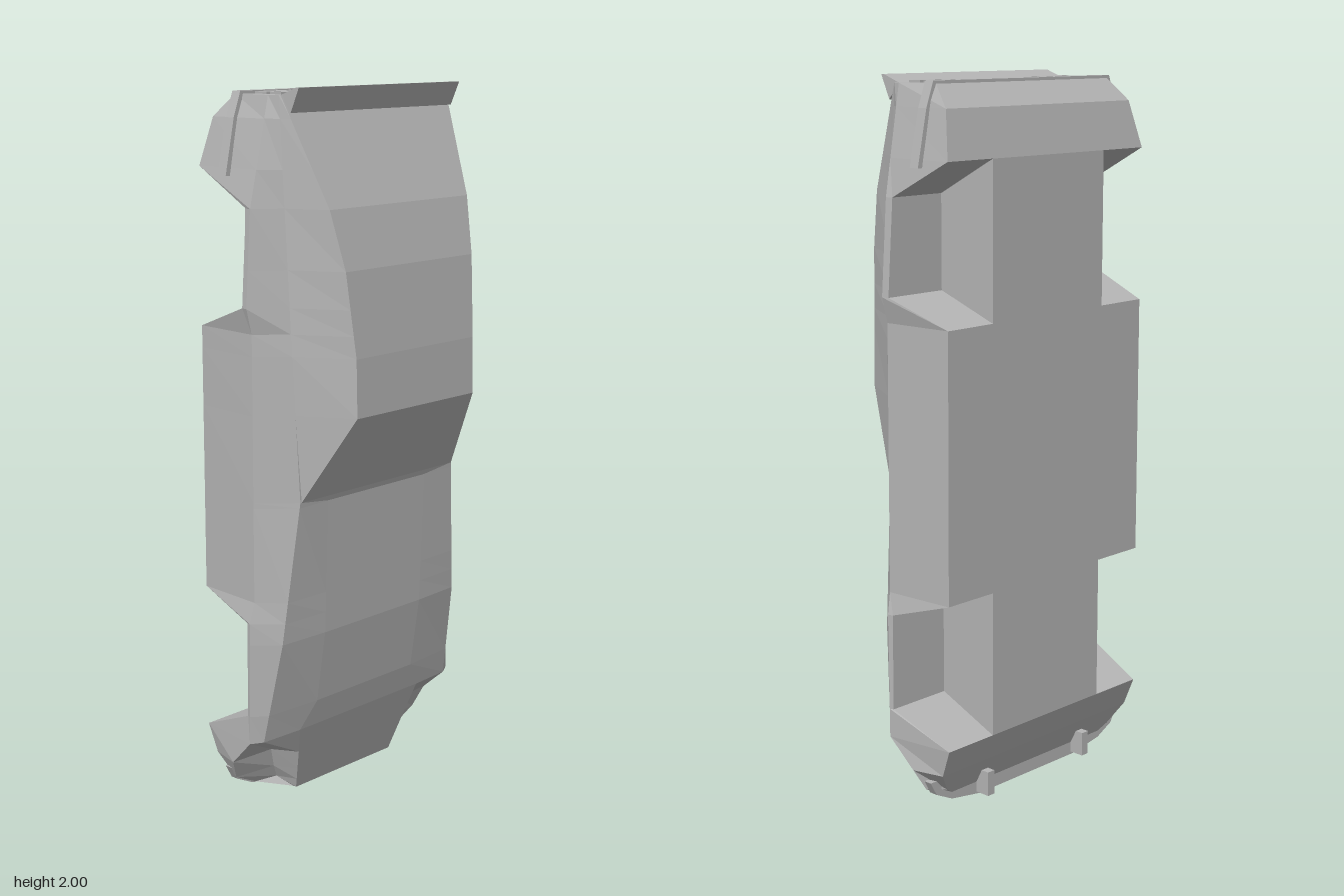
import * as THREE from 'three';

// Lengthwise edge lines of the +x half, nose (y = 0) to tail; points are [y, x, z]
const FLOOR = [[0, 0.2, -0.09], [0.03, 0.28, -0.14], [0.07, 0.34, -0.16], [0.13, 0.385, -0.19],
  [0.21, 0.39, -0.22], [1.79, 0.385, -0.22], [1.92, 0.36, -0.19], [1.98, 0.335, -0.13]];
const CREASE = [[0, 0.205, -0.08], [0.03, 0.3, -0.125], [0.07, 0.38, -0.12], [0.13, 0.41, -0.1],
  [0.21, 0.42, -0.02], [0.56, 0.418, -0.015], [0.62, 0.405, -0.01], [1.36, 0.402, -0.01],
  [1.43, 0.42, -0.01], [1.69, 0.402, -0.01], [1.98, 0.342, 0]];
const SHOULDER = [[0, 0.2, -0.07], [0.03, 0.23, -0.11], [0.07, 0.25, -0.1], [0.13, 0.27, -0.09],
  [0.21, 0.385, 0], [0.5, 0.36, 0.052], [0.9, 0.315, 0.08], [1.3, 0.33, 0.068], [1.98, 0.331, 0.028]];
const UPPER = [[0, 0.2, -0.06], [0.13, 0.23, -0.018], [0.21, 0.25, 0.008], [0.29, 0.2, 0.028],
  [0.5, 0.2, 0.06], [0.885, 0.2, 0.075], [0.9, 0.31, 0.08], [1.14, 0.24, 0.22],
  [1.3, 0.24, 0.217], [1.53, 0.257, 0.195], [1.69, 0.278, 0.158], [1.98, 0.328, 0.032]];

// Wheel wells: flat top from..to, inner wall and top height
const WELLS = [[0.29, 0.56], [1.43, 1.69]];
const WELL_X = 0.22, WELL_Z = -0.03;

// Point on an edge line at height y
function at(line, y) {
  const i = Math.max(1, line.findIndex((p) => p[0] >= y));
  const [y0, x0, z0] = line[i - 1], [y1, x1, z1] = line[i];
  const t = (y - y0) / (y1 - y0);
  return [x0 + (x1 - x0) * t, y, z0 + (z1 - z0) * t];
}

// Closed cross-section; inside a well the floor corner steps up to the well top
function sectionRing(y) {
  const [floor, crease, shoulder, upper] = [FLOOR, CREASE, SHOULDER, UPPER].map((l) => at(l, y));
  const inner = [Math.min(WELL_X, floor[0]), y, floor[2]];
  const inWell = WELLS.some(([from, to]) => y >= from && y <= to);
  const sill = inWell
    ? [[WELL_X, y, WELL_Z], [crease[0] - 0.004, y, WELL_Z]]
    : [inner, floor];
  const half = [inner, ...sill, crease, shoulder, upper];
  const mirrored = half.map(([x, , z]) => [-x, y, z]).reverse();
  return [[0, y, floor[2]], ...half, [0, y, upper[2]], ...mirrored];
}

function buildBody() {
  const stations = [FLOOR, CREASE, SHOULDER, UPPER, WELLS.map(([from]) => [from])]
    .flat().map((p) => p[0]);
  const rings = [...new Set(stations)].sort((a, b) => a - b).map(sectionRing);
  const n = rings[0].length;
  const pos = [];
  const tri = (a, b, c) => pos.push(...a, ...b, ...c);
  for (let i = 0; i < rings.length - 1; i++) {
    const p = rings[i], q = rings[i + 1];
    for (let j = 0; j < n; j++) {
      const k = (j + 1) % n;
      tri(p[j], q[j], q[k]);
      tri(p[j], q[k], p[k]);
    }
  }
  // closed nose and tail
  const nose = rings[0], tail = rings[rings.length - 1];
  for (let j = 0; j < n; j++) {
    const k = (j + 1) % n;
    tri([0, 0, -0.075], nose[j], nose[k]);
    tri([0, 1.98, -0.05], tail[k], tail[j]);
  }
  const geo = new THREE.BufferGeometry();
  geo.setAttribute('position', new THREE.Float32BufferAttribute(pos, 3));
  geo.computeVertexNormals();
  return geo;
}

const outline = (pts) => new THREE.Shape(pts.map(([x, y]) => new THREE.Vector2(x, y)));

// Extrude an x-mirrored outline given by its +x half
function mirroredSlab(half, z, depth) {
  const shape = outline([...half, ...half.map(([x, y]) => [-x, y]).reverse()]);
  return new THREE.ExtrudeGeometry(shape, { depth, bevelEnabled: false }).translate(0, 0, z);
}

export function createModel() {
  const group = new THREE.Group();
  const grey = new THREE.MeshStandardMaterial({ color: 0xb4b4b4 });
  grey.name = 'body grey';
  const add = (name, geo, x = 0, y = 0, z = 0) => {
    const mesh = new THREE.Mesh(geo, grey);
    mesh.name = name;
    mesh.position.set(x, y, z);
    group.add(mesh);
  };

  add('body', buildBody());

  // Lip spoiler along the tail edge
  const lip = outline([[-0.025, 1.98], [-0.06, 1.935], [-0.09, 2], [-0.08, 2]]);
  add('spoiler', new THREE.ExtrudeGeometry(lip, { depth: 0.64, bevelEnabled: false })
    .translate(0, 0, -0.32).rotateY(Math.PI / 2));

  // Rear bumper strip wrapping round the sides
  add('rearBumper', mirroredSlab(
    [[0.325, 1.975], [0.385, 1.77], [0.402, 1.77], [0.37, 1.92], [0.345, 1.988]], -0.13, 0.03));

  // Front bumper strip with two overriders
  add('frontBumper', mirroredSlab(
    [[0.2, 0.012], [0.31, 0.03], [0.37, 0.06], [0.392, 0.1]], -0.15, 0.025));
  for (const s of [-1, 1]) {
    add('overrider', new THREE.BoxGeometry(0.025, 0.07, 0.06), s * 0.2, 0.055, -0.165);
    // Tail lamps, two thin plates per side
    add('upperTailLamp', new THREE.BoxGeometry(0.13, 0.008, 0.04), s * 0.235, 1.982, -0.015);
    add('lowerTailLamp', new THREE.BoxGeometry(0.13, 0.008, 0.044), s * 0.235, 1.982, -0.07);
  }
  return group;
}
